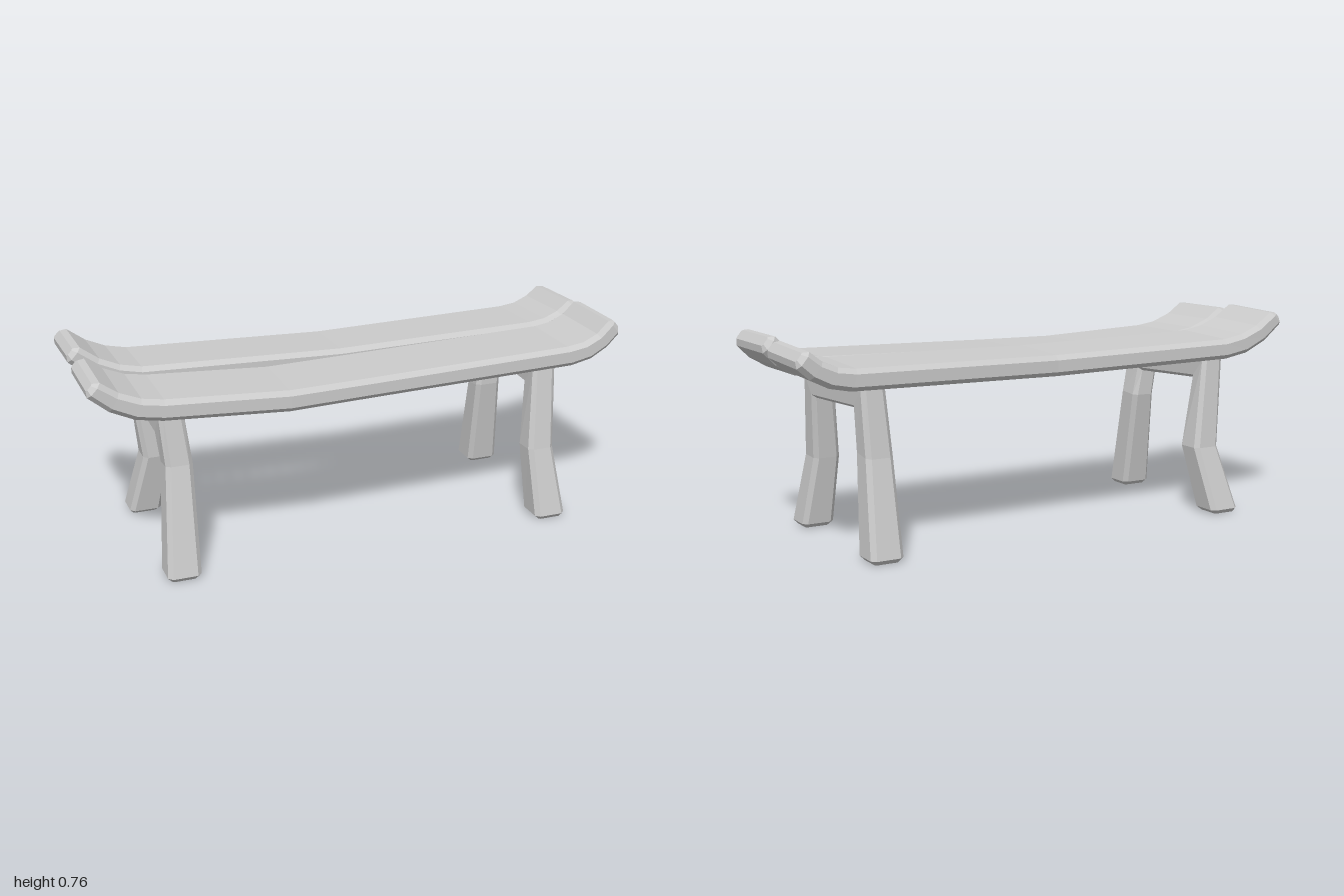
import * as THREE from 'three';

const material = new THREE.MeshStandardMaterial({ color: 0xcccccc, flatShading: true });

// Eight-cornered section: low and high are edge midpoints, side is the half-width vector
function section({ low, high, side }, c) {
  const u = high.clone().sub(low);
  const mid = low.clone().add(high).multiplyScalar(0.5);
  const h = u.length() / 2, w = side.length();
  u.normalize();
  const s = side.clone().normalize();
  return [
    [w, c - h], [w, h - c], [w - c, h], [c - w, h],
    [-w, h - c], [-w, c - h], [c - w, -h], [w - c, -h],
  ].map(([a, b]) => mid.clone().addScaledVector(s, a).addScaledVector(u, b));
}

// Smaller section just beyond an end, giving the bevelled tip
function tip(end, next, c) {
  const centre = (t) => t.low.clone().add(t.high).multiplyScalar(0.5);
  const out = centre(end).sub(centre(next)).normalize().multiplyScalar(c);
  const u = end.high.clone().sub(end.low).normalize().multiplyScalar(c);
  return section({
    low: end.low.clone().add(u).add(out),
    high: end.high.clone().sub(u).add(out),
    side: end.side.clone().setLength(end.side.length() - c),
  }, c * 0.4);
}

// Bevelled beam lofted through the stations
function beam(name, stations, c) {
  const n = stations.length;
  const rings = [
    tip(stations[0], stations[1], c),
    ...stations.map((t) => section(t, c)),
    tip(stations[n - 1], stations[n - 2], c),
  ];
  const index = [];
  for (let r = 0; r < rings.length - 1; r++) {
    for (let i = 0; i < 8; i++) {
      const j = (i + 1) % 8, a = r * 8, b = a + 8;
      index.push(a + i, a + j, b + j, a + i, b + j, b + i);
    }
  }
  const last = (rings.length - 1) * 8;
  for (let i = 1; i < 7; i++) {
    index.push(0, i + 1, i, last, last + i, last + i + 1);
  }
  const geometry = new THREE.BufferGeometry().setFromPoints(rings.flat());
  geometry.setIndex(index);
  const flat = geometry.toNonIndexed();
  flat.computeVertexNormals();
  const mesh = new THREE.Mesh(flat, material);
  mesh.name = name;
  return mesh;
}

// Plank rows: bottom x, y, top x, y, then back and front z; roll tilts it across
function plank(name, rows, roll) {
  return beam(name, rows.map(([bx, by, tx, ty, z0, z1]) => {
    const z = (z0 + z1) / 2;
    return {
      low: new THREE.Vector3(bx, by, z),
      high: new THREE.Vector3(tx, ty, z),
      side: new THREE.Vector3(0, -roll, -1).setLength((z1 - z0) / 2),
    };
  }), 0.017);
}

// Leg frame rows: inner z, y, outer z, y, centre x, half width
function legFrame(name, rows) {
  return beam(name, rows.map(([iz, iy, oz, oy, x, w]) => ({
    low: new THREE.Vector3(x, iy, iz),
    high: new THREE.Vector3(x, oy, oz),
    side: new THREE.Vector3(-w, 0, 0),
  })), 0.016);
}

export function createModel() {
  const group = new THREE.Group();
  group.name = 'bench';

  // Two seat planks with upturned ends
  group.add(plank('frontPlank', [
    [-0.99, 0.695, -0.945, 0.742, 0.01, 0.30],
    [-0.92, 0.637, -0.885, 0.70, 0.01, 0.30],
    [-0.835, 0.598, -0.81, 0.67, 0.012, 0.302],
    [-0.74, 0.582, -0.735, 0.658, 0.014, 0.304],
    [-0.30, 0.561, -0.30, 0.638, 0.033, 0.321],
    [0.0, 0.567, 0.0, 0.642, 0.025, 0.315],
    [0.80, 0.583, 0.78, 0.658, 0.014, 0.304],
    [0.88, 0.60, 0.845, 0.667, 0.012, 0.304],
    [0.945, 0.637, 0.90, 0.693, 0.012, 0.304],
    [0.99, 0.682, 0.945, 0.737, 0.012, 0.304],
  ], 0));
  group.add(plank('backPlank', [
    [-0.99, 0.706, -0.945, 0.755, -0.308, -0.022],
    [-0.92, 0.648, -0.88, 0.708, -0.306, -0.02],
    [-0.835, 0.606, -0.81, 0.678, -0.302, -0.016],
    [-0.74, 0.588, -0.735, 0.663, -0.298, -0.012],
    [0.0, 0.571, 0.0, 0.647, -0.266, 0.01],
    [0.80, 0.581, 0.78, 0.656, -0.282, 0.003],
    [0.88, 0.597, 0.845, 0.664, -0.284, 0.002],
    [0.945, 0.629, 0.90, 0.687, -0.286, 0.001],
    [0.99, 0.668, 0.945, 0.722, -0.287, 0.0],
  ], 0.04));

  // Arched leg frames, front foot to back foot
  group.add(legFrame('leftLegs', [
    [0.235, 0.016, 0.353, 0.016, 0.715, 0.06],
    [0.196, 0.265, 0.297, 0.27, 0.692, 0.05],
    [0.168, 0.492, 0.247, 0.583, 0.713, 0.045],
    [-0.178, 0.505, -0.255, 0.583, 0.713, 0.045],
    [-0.18, 0.36, -0.28, 0.345, 0.703, 0.05],
    [-0.235, 0.016, -0.355, 0.016, 0.715, 0.06],
  ]));
  group.add(legFrame('rightLegs', [
    [0.235, 0.016, 0.35, 0.016, -0.703, 0.06],
    [0.165, 0.39, 0.265, 0.40, -0.685, 0.048],
    [0.165, 0.49, 0.245, 0.583, -0.702, 0.045],
    [-0.18, 0.505, -0.255, 0.59, -0.702, 0.045],
    [-0.182, 0.25, -0.29, 0.25, -0.657, 0.053],
    [-0.235, 0.016, -0.355, 0.016, -0.70, 0.06],
  ]));
  return group;
}
